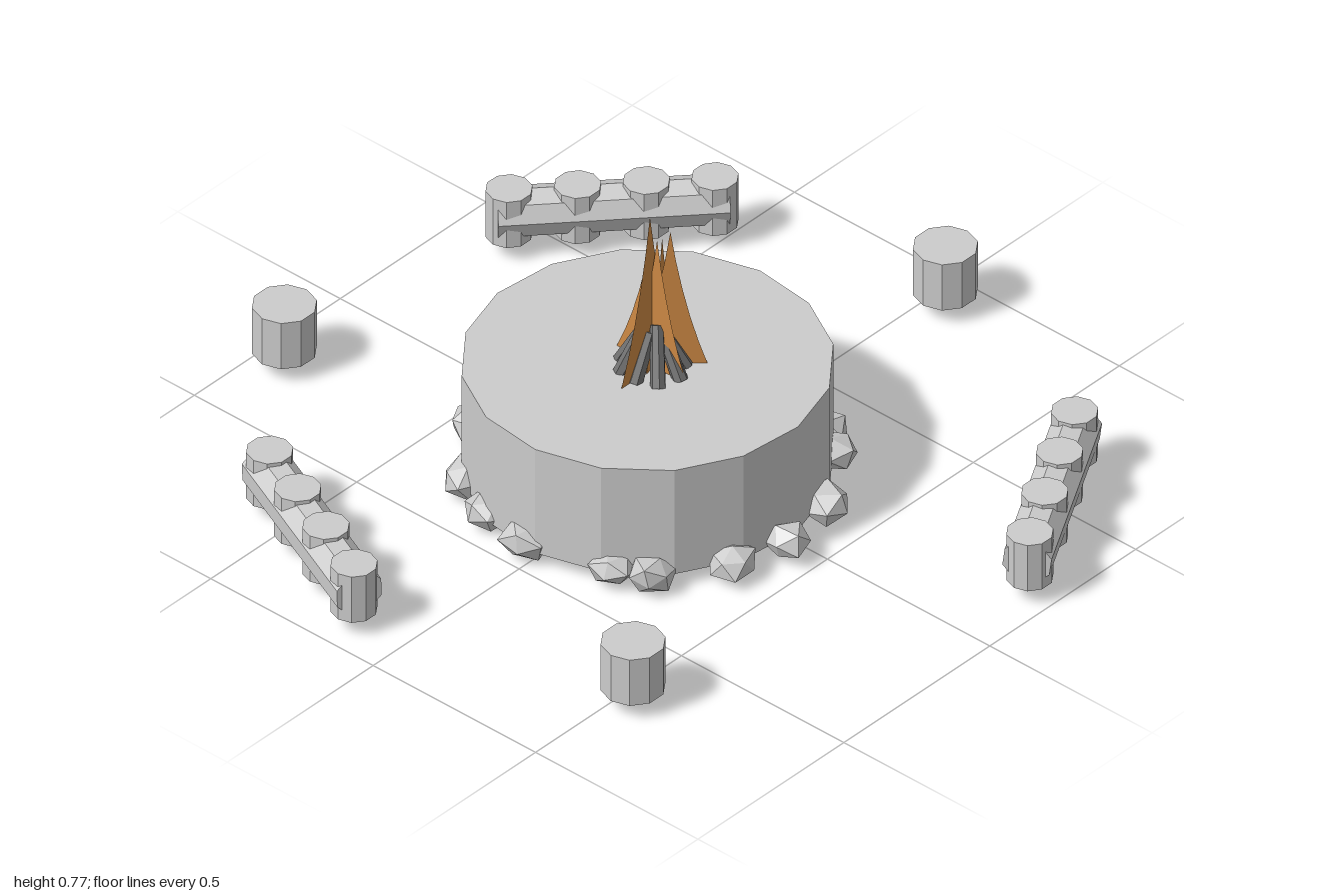
import * as THREE from 'three';

export function createModel() {
  const root = new THREE.Group();
  const mat = (name, color, side = THREE.FrontSide) => {
    const m = new THREE.MeshStandardMaterial({ color, flatShading: true, side });
    m.name = name;
    return m;
  };
  const stone = mat('paleStone', 0xcccccc);
  const charred = mat('charredWood', 0x707070);
  const flame = mat('flameOrange', 0xd08b45, THREE.DoubleSide);

  let seed = 7;
  const rand = () => (seed = (seed * 16807) % 2147483647) / 2147483647;

  const add = (parent, name, geometry, material, x = 0, y = 0, z = 0) => {
    const mesh = new THREE.Mesh(geometry, material);
    mesh.name = name;
    mesh.position.set(x, y, z);
    parent.add(mesh);
    return mesh;
  };
  // Cylinder running between two points
  const rod = (parent, name, a, b, rTop, rBottom, sides, material) => {
    const d = b.clone().sub(a);
    const c = a.clone().add(b).multiplyScalar(0.5);
    const m = add(parent, name, new THREE.CylinderGeometry(rTop, rBottom, d.length(), sides), material, c.x, c.y, c.z);
    m.quaternion.setFromUnitVectors(new THREE.Vector3(0, 1, 0), d.normalize());
    return m;
  };

  // Round fire platform
  add(root, 'firePlatform', new THREE.CylinderGeometry(0.43, 0.43, 0.295, 16, 1, false, 0.09), stone, -0.018, 0.1875, 0.04);

  // Irregular stones around the foot of the platform
  const rocks = new THREE.Group();
  rocks.name = 'stoneRing';
  root.add(rocks);
  const rock = (x, y, z, rx, ry) => {
    const g = new THREE.IcosahedronGeometry(1, 0);
    const p = g.attributes.position;
    const moved = {};
    for (let i = 0; i < p.count; i++) {
      const key = [p.getX(i), p.getY(i), p.getZ(i)].map((v) => v.toFixed(2)).join();
      const s = (moved[key] ??= 0.82 + 0.3 * rand());
      p.setXYZ(i, p.getX(i) * s, p.getY(i) * s, p.getZ(i) * s);
    }
    g.rotateX(rand() * 3).rotateY(rand() * 6);
    g.scale(rx, ry, rx);
    g.computeVertexNormals();
    add(rocks, 'ringStone', g, stone, x, y, z);
  };
  const spots = [
    [-0.29, -0.34], [-0.155, -0.375], [-0.01, -0.38], [0.2, -0.32], [0.28, -0.27], [0.4, -0.11],
    [0.43, 0.055], [0.39, 0.2], [0.28, 0.36], [0.2, 0.4], [-0.02, 0.455], [-0.16, 0.43],
    [-0.28, 0.37], [-0.41, 0.2], [-0.43, 0.1], [-0.435, -0.12], [-0.39, -0.22],
  ];
  for (const [x, z] of spots) rock(x, 0.052, z, 0.06, 0.046);
  // Inner stones barely showing under the platform
  for (let i = 0; i < 10; i++) {
    const a = (i / 10) * Math.PI * 2;
    rock(-0.018 + 0.22 * Math.sin(a), 0.067, 0.04 + 0.22 * Math.cos(a), 0.05, 0.034);
  }

  // Leaning firewood
  const fire = new THREE.Group();
  fire.name = 'campfire';
  fire.position.set(0, 0.335, 0.045);
  root.add(fire);
  for (let i = 0; i < 9; i++) {
    const a = (i / 9) * Math.PI * 2 + 0.2;
    const r = 0.075 + 0.012 * rand();
    const top = 0.1 + 0.03 * rand();
    rod(fire, 'firewood',
      new THREE.Vector3(r * Math.sin(a), -0.005, r * Math.cos(a)),
      new THREE.Vector3(0.022 * Math.sin(a + 0.4), top, 0.022 * Math.cos(a + 0.4)), 0.016, 0.019, 7, charred);
  }

  // Upright flame blades with hollow curved edges: x, z, yaw, half width, height
  const blades = [
    [0.012, 0.02, Math.PI / 2, 0.098, 0.435],
    [0.03, -0.03, 0.75, 0.085, 0.375],
    [-0.008, 0, 0, 0.1, 0.33],
    [0.015, -0.01, 2.3, 0.095, 0.3],
    [0.025, 0.01, 0.2, 0.075, 0.37],
    [0.0, -0.035, 1.8, 0.075, 0.34],
  ];
  for (const [x, z, yaw, w, h] of blades) {
    const s = new THREE.Shape();
    s.moveTo(-w, 0);
    s.quadraticCurveTo(-w * 0.35, h * 0.42, 0, h);
    s.quadraticCurveTo(w * 0.35, h * 0.42, w, 0);
    add(fire, 'flameBlade', new THREE.ShapeGeometry(s, 5), flame, x, 0, z).rotation.y = yaw;
  }

  // Stump stools
  for (const [x, z] of [[0.05, -0.905], [-0.925, 0.275], [0.535, 0.705]]) {
    add(root, 'stumpStool', new THREE.CylinderGeometry(0.076, 0.076, 0.13, 10), stone, x, 0.11, z);
  }

  // Benches: a lying log set through four short posts
  for (const [x0, z0, x1, z1] of [
    [-0.84, -0.4, -0.52, -0.75], [0.695, -0.63, 0.93, -0.215], [-0.575, 0.715, -0.14, 0.91],
  ]) {
    const bench = new THREE.Group();
    bench.name = 'logBench';
    root.add(bench);
    const a = new THREE.Vector3(x0, 0.11, z0);
    const b = new THREE.Vector3(x1, 0.11, z1);
    for (let i = 0; i < 4; i++) {
      const p = a.clone().lerp(b, i / 3);
      add(bench, 'benchPost', new THREE.CylinderGeometry(0.055, 0.055, 0.13, 10), stone, p.x, p.y, p.z);
    }
    const d = b.clone().sub(a).normalize().multiplyScalar(0.03);
    rod(bench, 'benchLog', a.clone().sub(d), b.clone().add(d), 0.06, 0.06, 8, stone);
  }
  return root;
}
